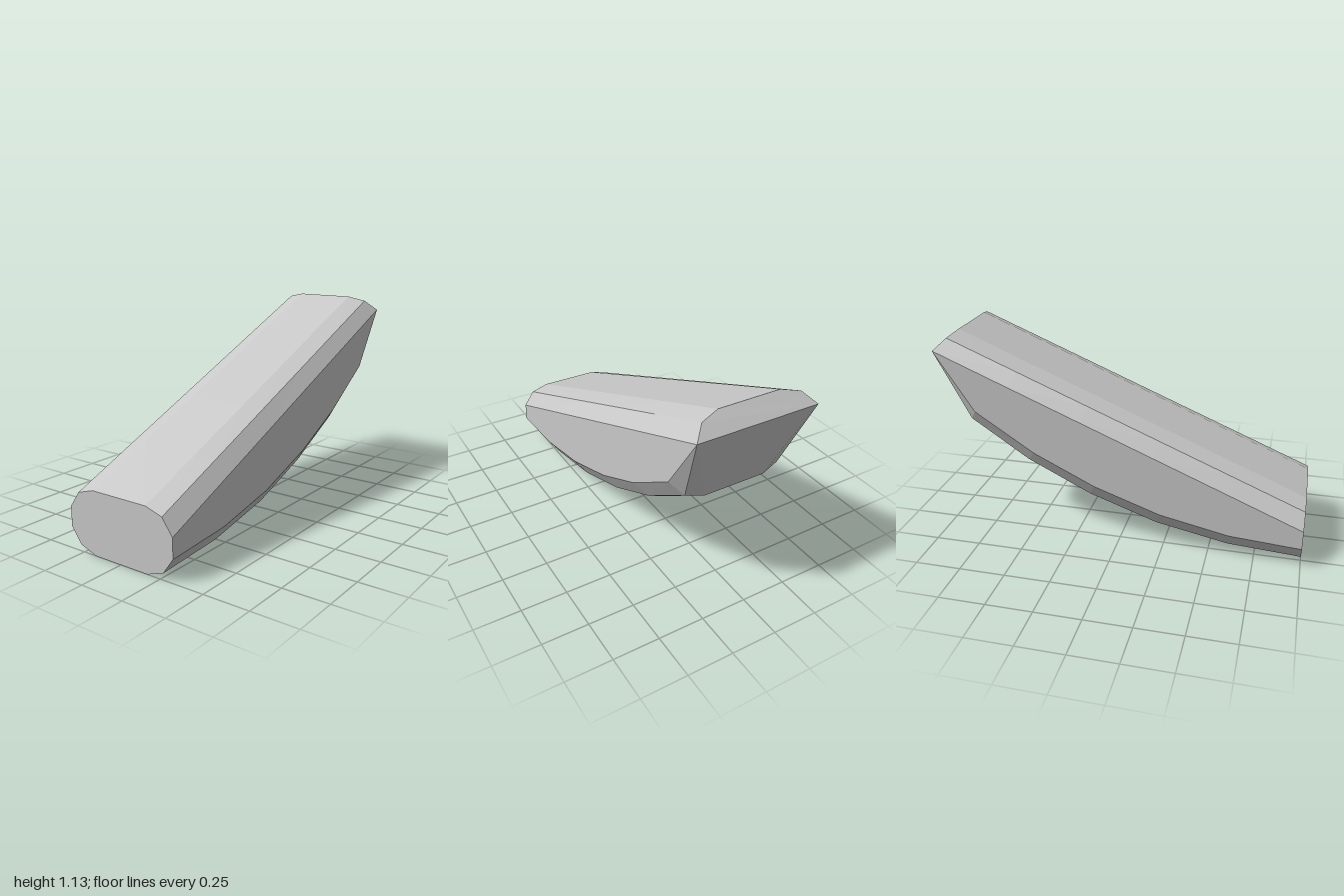
import * as THREE from 'three';

// Rails running lengthwise: half width z, then [x, y] stations
const lowerRails = [
  { z: 0.17, pts: [[-1, 0], [-0.6, 0.03], [-0.2, 0.108], [0.18, 0.24], [0.53, 0.413], [0.855, 0.632]] },
  { z: 0.27, pts: [[-1, 0.035], [-0.605, 0.06], [-0.21, 0.138], [0.165, 0.27], [0.515, 0.443], [0.835, 0.657]] },
  { z: 0.33, pts: [[-1, 0.119], [-0.615, 0.145], [-0.24, 0.222], [0.125, 0.35], [0.46, 0.513], [0.785, 0.725]] },
];
// Straight upper rails: start and end only
const upperRails = [
  { z: 0.33, pts: [[-1, 0.225], [1, 1.052]] },
  { z: 0.27, pts: [[-1, 0.31], [0.942, 1.11]] },
  { z: 0.17, pts: [[-1, 0.34], [0.915, 1.133]] },
];
const STEPS = 5;

// Closed cross-section: up the +z side, then down the -z side
function section(i) {
  const t = i / STEPS;
  const half = [
    ...lowerRails.map(({ z, pts }) => [...pts[i], z]),
    ...upperRails.map(({ z, pts: [a, b] }) => [a[0] + (b[0] - a[0]) * t, a[1] + (b[1] - a[1]) * t, z]),
  ];
  return [...half, ...half.map(([x, y, z]) => [x, y, -z]).reverse()];
}

function wedgeGeometry() {
  const rings = Array.from({ length: STEPS + 1 }, (_, i) => section(i));
  const n = rings[0].length;
  const out = [];
  const face = (...p) => {
    for (let k = 1; k < p.length - 1; k++) out.push(...p[0], ...p[k], ...p[k + 1]);
  };
  // Skin between neighbouring sections
  for (let i = 0; i < STEPS; i++) {
    for (let j = 0; j < n; j++) {
      const k = (j + 1) % n;
      face(rings[i][j], rings[i + 1][j], rings[i + 1][k], rings[i][k]);
    }
  }
  // Flat low end
  face(...rings[0]);
  // Faceted high end: chamfer, slanted face and corner triangles
  const tip = rings[STEPS];
  const facets = [[3, 4, 5, 6, 7, 8], [0, 3, 8, 11], [0, 1, 3], [1, 2, 3], [8, 9, 10], [8, 10, 11]];
  for (const f of facets) face(...f.map((v) => tip[v]).reverse());

  const g = new THREE.BufferGeometry();
  g.setAttribute('position', new THREE.Float32BufferAttribute(out, 3));
  g.computeVertexNormals();
  return g;
}

export function createModel() {
  const group = new THREE.Group();
  group.name = 'curvedWedge';
  const grey = new THREE.MeshStandardMaterial({ color: 0xc8c8c8, flatShading: true });
  grey.name = 'lightGrey';
  const body = new THREE.Mesh(wedgeGeometry(), grey);
  body.name = 'wedgeBody';
  group.add(body);
  return group;
}
